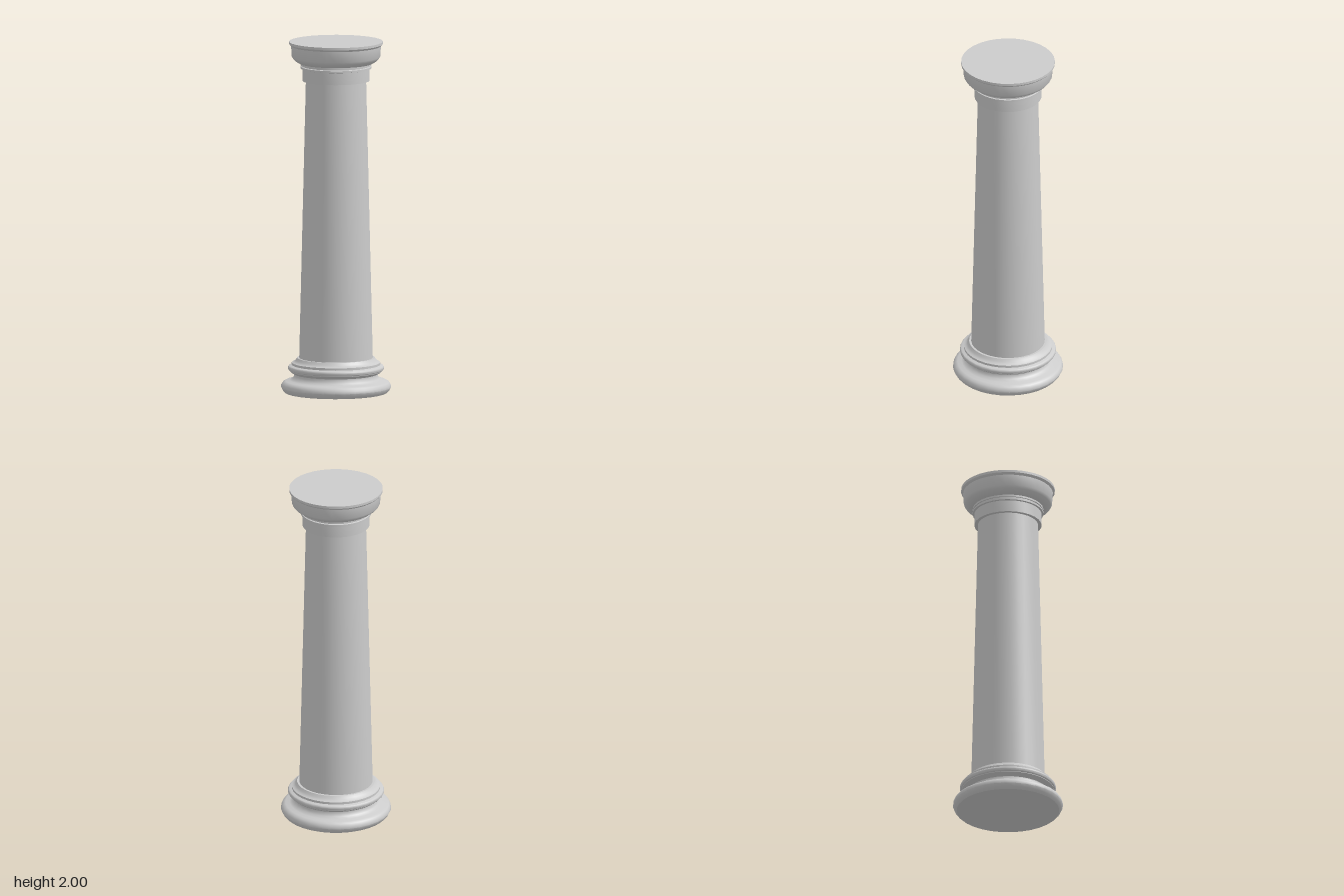
import * as THREE from 'three';
import { toCreasedNormals } from 'three/addons/utils/BufferGeometryUtils.js';

const SIDES = 32;

// Turn a [radius, height] profile, listed bottom to top, around the y axis
function turned(name, profile, material) {
  const points = profile.map(([r, y]) => new THREE.Vector2(r, y));
  const geometry = toCreasedNormals(new THREE.LatheGeometry(points, SIDES), 0.6);
  const mesh = new THREE.Mesh(geometry, material);
  mesh.name = name;
  return mesh;
}

// Profile points along a rounded bulge (or a hollow, with a negative depth)
function bulge(r, y0, y1, depth, steps = 6) {
  return Array.from({ length: steps + 1 }, (_, i) => {
    const a = (i / steps) * Math.PI;
    return [r + depth * Math.sin(a), (y0 + y1) / 2 - ((y1 - y0) / 2) * Math.cos(a)];
  });
}

export function createModel() {
  const group = new THREE.Group();
  group.name = 'column';
  const stone = new THREE.MeshStandardMaterial({ color: 0xcccccc });

  // Base: large rounded foot, hollow, then a smaller ring and fillets
  group.add(turned('base', [
    [0, 0], [0.29, 0],
    [0.302, 0.012], [0.311, 0.03], [0.309, 0.045], [0.3, 0.058], [0.285, 0.066],
    [0.262, 0.07], [0.245, 0.08], [0.236, 0.095], [0.236, 0.105],
    [0.25, 0.112], [0.262, 0.122],
    ...bulge(0.262, 0.125, 0.153, 0.01),
    [0.25, 0.157], [0.25, 0.17], [0.238, 0.174],
    [0.228, 0.184], [0.22, 0.197], [0, 0.197],
  ], stone));

  // Tapering shaft
  group.add(turned('shaft', [[0, 0.19], [0.208, 0.19], [0.17, 1.79], [0, 1.79]], stone));

  // Collar below the capital
  group.add(turned('collar', [
    [0, 1.777], [0.19, 1.777], [0.19, 1.845], [0.2, 1.847], [0.2, 1.858],
    [0.193, 1.861], [0.193, 1.868], [0, 1.868],
  ], stone));

  // Capital: flaring cushion, upright drum and top lip
  group.add(turned('capital', [
    [0, 1.865], [0.2, 1.865], [0.2, 1.876], [0.208, 1.877],
    [0.225, 1.887], [0.24, 1.899], [0.25, 1.914],
    [0.254, 1.975], [0.261, 1.981], [0.265, 1.986], [0.265, 2], [0, 2],
  ], stone));

  return group;
}
